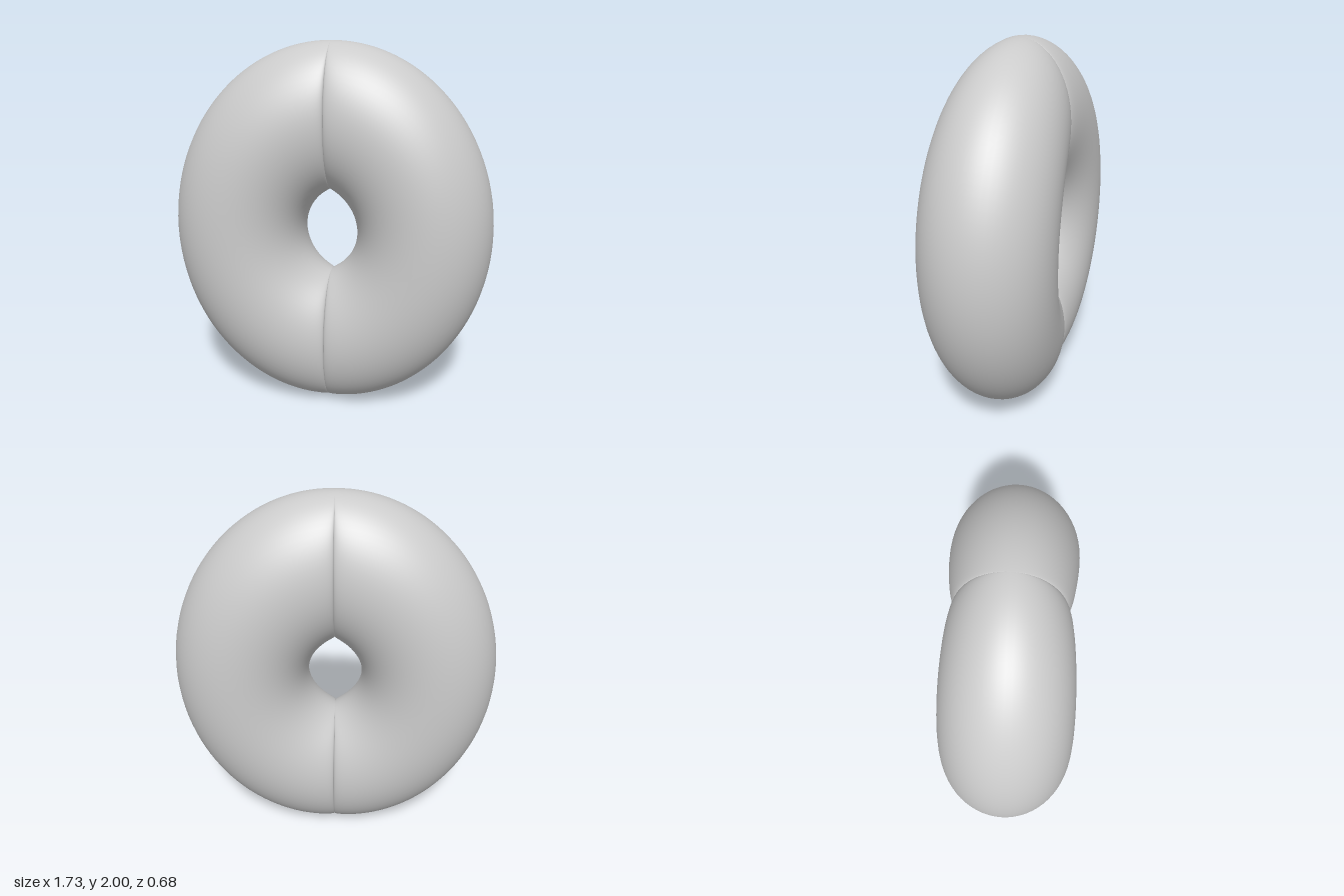
import * as THREE from 'three';

const RINGS = 96, SIDES = 64;

// One half of the ring: elliptical sections swept from bottom seam to top seam
function halfRing() {
  const pos = [], idx = [];
  const seamAngle = Math.acos(0.118 / 0.263); // where the inner arc meets x = 0
  for (let i = 0; i <= RINGS; i++) {
    const s = (i / RINGS) * 2 - 1;
    const k = Math.sign(s) * (1 - (1 - Math.abs(s)) ** 2); // denser near the seams
    const t = k * Math.PI / 2, u = k * seamAngle;
    const c = Math.max(0, Math.cos(t));
    const outer = new THREE.Vector2(0.865 * c, Math.sin(t));
    const inner = new THREE.Vector2(Math.max(0, -0.118 + 0.263 * Math.cos(u)), 0.263 * Math.sin(u));
    // thickness pinches in quickly at the seam
    const depth = 0.255 + 0.085 * (c < 1e-6 ? 0 : Math.pow(c, 0.45));
    for (let j = 0; j < SIDES; j++) {
      const a = (j / SIDES) * Math.PI * 2;
      const p = inner.clone().lerp(outer, 0.5 + 0.5 * Math.cos(a));
      pos.push(p.x, p.y + 1, depth * Math.sin(a));
    }
  }
  for (let i = 0; i < RINGS; i++) {
    for (let j = 0; j < SIDES; j++) {
      const n = (j + 1) % SIDES;
      const a = i * SIDES + j, b = a + SIDES, c = i * SIDES + n, d = c + SIDES;
      idx.push(a, b, c, b, d, c);
    }
  }
  const geo = new THREE.BufferGeometry();
  geo.setAttribute('position', new THREE.Float32BufferAttribute(pos, 3));
  geo.setIndex(idx);
  geo.computeVertexNormals();
  return geo;
}

export function createModel() {
  const group = new THREE.Group();
  group.name = 'pinchedRing';
  const material = new THREE.MeshStandardMaterial({ color: 0xcccccc, side: THREE.DoubleSide });
  const geo = halfRing();
  // The two halves meet in a crease on x = 0
  ['leftHalf', 'rightHalf'].forEach((name, i) => {
    const half = new THREE.Mesh(geo, material);
    half.name = name;
    half.rotation.y = i * Math.PI;
    group.add(half);
  });
  return group;
}
